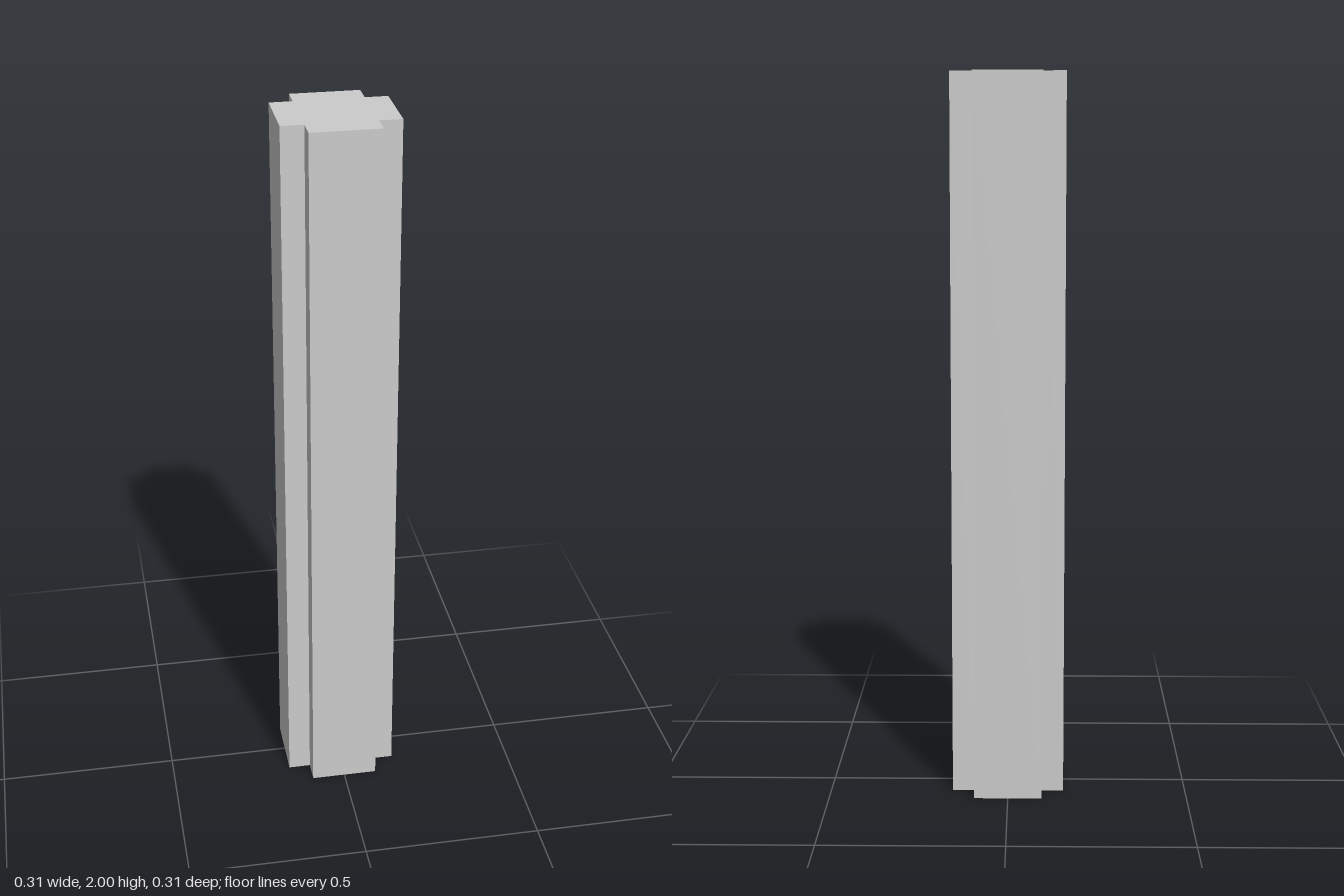
import * as THREE from 'three';

const HEIGHT = 2;
const OUTER = 0.156; // half width across the arms
const INNER = 0.094; // half width of each arm

// Plus-shaped outline: one notched corner, turned four times
function crossShape() {
  const corner = [[OUTER, -INNER], [OUTER, INNER], [INNER, INNER]];
  const points = [];
  for (let i = 0; i < 4; i++) {
    for (const [x, y] of corner) {
      points.push(new THREE.Vector2(x, y).rotateAround(new THREE.Vector2(), i * Math.PI / 2));
    }
  }
  return new THREE.Shape(points);
}

export function createModel() {
  const model = new THREE.Group();
  model.name = 'crossPillar';

  // Solid pillar standing on the ground
  const geometry = new THREE.ExtrudeGeometry(crossShape(), { depth: HEIGHT, bevelEnabled: false });
  geometry.rotateX(-Math.PI / 2);
  const material = new THREE.MeshStandardMaterial({ color: 0xcccccc, flatShading: true });
  const shaft = new THREE.Mesh(geometry, material);
  shaft.name = 'pillarShaft';
  model.add(shaft);

  return model;
}
